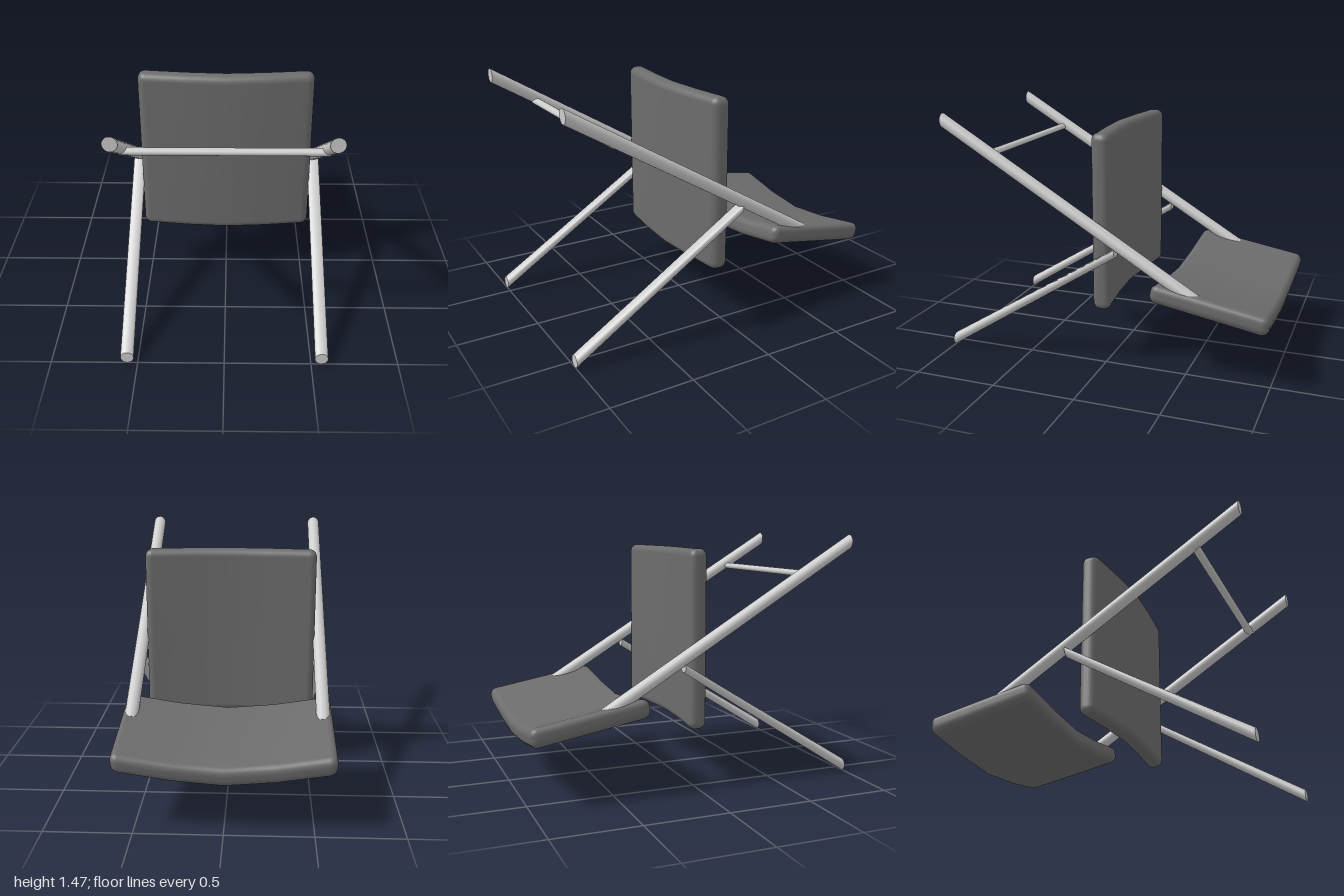
import * as THREE from 'three';
import { mergeVertices } from 'three/addons/utils/BufferGeometryUtils.js';

const metal = new THREE.MeshStandardMaterial({ color: 0xcccccc });
const padding = new THREE.MeshStandardMaterial({ color: 0x6c6c6c });

function addMesh(group, name, geometry, material) {
  const mesh = new THREE.Mesh(geometry, material);
  mesh.name = name;
  group.add(mesh);
  return mesh;
}

// Rounded slab, thickness along y, whose sides curve up by `sag` towards +-x
function paddedPanel(width, thickness, length, radius, sag) {
  const size = [width, thickness, length];
  const middle = [4, 1, 1];
  const corner = 4;
  const counts = middle.map((m) => m + 2 * corner);
  let geo = new THREE.BoxGeometry(...size, ...counts);
  const pos = geo.attributes.position;
  const inner = size.map((s) => s / 2 - radius);
  for (let i = 0; i < pos.count; i++) {
    const clamped = new THREE.Vector3();
    const offset = new THREE.Vector3();
    for (let a = 0; a < 3; a++) {
      const k = Math.round((pos.getComponent(i, a) / size[a] + 0.5) * counts[a]);
      const low = Math.max(corner - k, 0);
      const high = Math.max(k - corner - middle[a], 0);
      const step = THREE.MathUtils.clamp((k - corner) / middle[a], 0, 1);
      clamped.setComponent(a, inner[a] * (2 * step - 1));
      offset.setComponent(a, (high - low) * radius / corner);
    }
    const p = clamped.add(offset.setLength(radius));
    p.y += sag * Math.pow(Math.abs(p.x) / (width / 2), 1.5);
    pos.setXYZ(i, p.x, p.y, p.z);
  }
  geo.deleteAttribute('uv');
  geo.deleteAttribute('normal');
  geo = mergeVertices(geo, 1e-5);
  geo.computeVertexNormals();
  return geo;
}

// Slanted bar from back [z, y] to front [z, y], with both ends cut upright
function slantedBar(back, front, rx, ry, maxY = Infinity) {
  const geo = new THREE.CylinderGeometry(1, 1, 1, 32);
  geo.rotateX(Math.PI / 2);
  const pos = geo.attributes.position;
  for (let i = 0; i < pos.count; i++) {
    const t = pos.getZ(i) + 0.5;
    const y = THREE.MathUtils.lerp(back[1], front[1], t) + pos.getY(i) * ry;
    pos.setXYZ(i, pos.getX(i) * rx, Math.min(y, maxY), THREE.MathUtils.lerp(back[0], front[0], t));
  }
  geo.computeVertexNormals();
  return geo;
}

export function createModel() {
  const group = new THREE.Group();

  // Upright panel, bowed towards the front
  const seat = addMesh(group, 'seat', paddedPanel(1.06, 0.11, 1.06, 0.045, 0.05), padding);
  seat.rotation.x = -Math.PI / 2;
  seat.position.set(0, 0.87, 0.07);

  // Tilted rear panel, sagging in the middle
  const backrest = addMesh(group, 'backrest', paddedPanel(1.23, 0.115, 0.7, 0.045, 0.085), padding);
  backrest.rotation.x = -0.175;
  backrest.position.set(0, 0.38, -0.634);

  // Long rails and shorter legs on both sides
  for (const [side, x] of [['left', 0.56], ['right', -0.56]]) {
    const rail = addMesh(group, side + 'Rail',
      slantedBar([-0.58, 0.482], [1, 1.431], 0.04, 0.043), metal);
    const leg = addMesh(group, side + 'Leg',
      slantedBar([-0.09, 0.735], [1, 0.037], 0.038, 0.037, 0.75), metal);
    rail.position.x = leg.position.x = x;
  }

  // Crossbar between the rails
  const bar = new THREE.CylinderGeometry(1, 1, 1.12, 24);
  bar.rotateZ(Math.PI / 2);
  bar.scale(1, 0.02, 0.026);
  addMesh(group, 'crossbar', bar, metal).position.set(0, 1.241, 0.723);

  return group;
}
